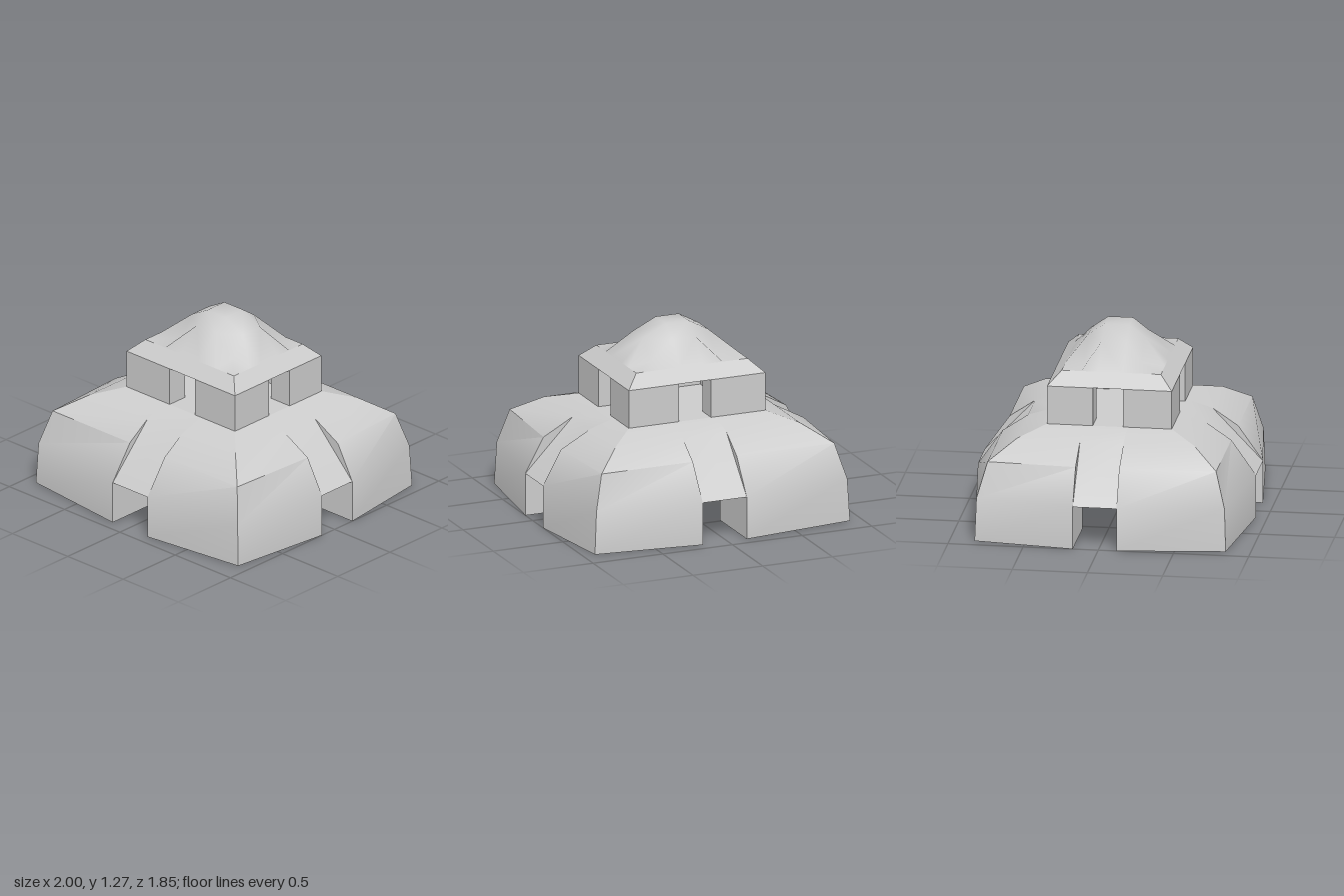
import * as THREE from 'three';
import { toCreasedNormals } from 'three/addons/utils/BufferGeometryUtils.js';

const material = new THREE.MeshStandardMaterial({ color: 0xcccccc });

// Collects convex polygons (counter-clockwise from outside) into one mesh
function polyMesh(name, polys, crease = 0.68) {
  const pos = [];
  for (const p of polys)
    for (let i = 1; i < p.length - 1; i++) pos.push(...p[0], ...p[i], ...p[i + 1]);
  const geo = new THREE.BufferGeometry();
  geo.setAttribute('position', new THREE.Float32BufferAttribute(pos, 3));
  const mesh = new THREE.Mesh(toCreasedNormals(geo, crease), material);
  mesh.name = name;
  return mesh;
}

// Mirrors polygons into another quadrant, keeping their facing
function mirror(polys, sx, sz) {
  return polys.map(p => {
    const q = p.map(([x, y, z]) => [x * sx, y, z * sz]);
    return sx * sz < 0 ? q.reverse() : q;
  });
}

const range = (n) => [...Array(n).keys()];
const quadrants = [[1, 1], [-1, 1], [-1, -1], [1, -1]];
// Passage edges either side of the centre lines
const slotX = s => (s > 0 ? 0.18 : 0.135);
const slotZ = s => (s > 0 ? 0.12 : 0.17);
const ROOM = { x: 0.54, z: 0.48 }, CEIL = 0.29, CORNER = 0.42;

// Base rings: height, side x, front z, corner x, corner z
const rings = [
  [0, 1.0, 0.925, 0.915, 0.835],
  [0.29, 1.0, 0.925, 0.9, 0.825],
  [0.525, 0.87, 0.76, 0.835, 0.76],
  [0.64, 0.66, 0.59, 0.66, 0.59],
  [0.695, 0.49, 0.415, 0.49, 0.415],
];

function cornerBlock(sx, sz) {
  const a = slotX(sx), b = slotZ(sz), { x: rx, z: rz } = ROOM;
  const F = rings.map(r => [a, r[0], r[2]]);
  const C = rings.map(r => [r[3], r[0], r[4]]);
  const S = rings.map(r => [r[1], r[0], b]);
  // outer skin, sharp along the corner
  const endSkin = range(4).map(i => [F[i], C[i], C[i + 1], F[i + 1]]);
  const sideSkin = range(4).map(i => [C[i], S[i], S[i + 1], C[i + 1]]);
  const core = [
    // walls facing the two passages
    [[a, 0, rz], F[0], F[1], F[2], F[3], [a, CEIL, rz]],
    [S[0], [rx, 0, b], [rx, CEIL, b], S[3], S[2], S[1]],
    // underside
    [[a, 0, rz], [rx, 0, rz], C[0], F[0]],
    [[rx, 0, rz], [rx, 0, b], S[0], C[0]],
    // inner room walls
    [[rx, 0, rz], [a, 0, rz], [a, CEIL, rz], [rx, CORNER, rz]],
    [[rx, 0, b], [rx, 0, rz], [rx, CORNER, rz], [rx, CEIL, b]],
  ];
  const block = new THREE.Group();
  block.name = 'cornerBlock';
  for (const [name, polys] of Object.entries({ endSkin, sideSkin, core }))
    block.add(polyMesh(name, mirror(polys, sx, sz)));
  return block;
}

// Sloped roofs and flat ceilings over the four passages
function passageRoofs() {
  const polys = [];
  const [, edge, , shoulder, top] = rings;
  const x0 = -slotX(-1), x1 = slotX(1), z0 = -slotZ(-1), z1 = slotZ(1);
  for (const s of [1, -1]) {
    const add = p => polys.push(s > 0 ? p : p.reverse());
    for (const [lo, hi] of [[edge, shoulder], [shoulder, top]]) {
      add([[x0, lo[0], s * lo[2]], [x1, lo[0], s * lo[2]], [x1, hi[0], s * hi[2]], [x0, hi[0], s * hi[2]]]);
      add([[s * lo[1], lo[0], z1], [s * lo[1], lo[0], z0], [s * hi[1], hi[0], z0], [s * hi[1], hi[0], z1]]);
    }
    add([[x0, CEIL, s * ROOM.z], [x1, CEIL, s * ROOM.z], [x1, CEIL, s * edge[2]], [x0, CEIL, s * edge[2]]]);
    add([[s * ROOM.x, CEIL, z1], [s * ROOM.x, CEIL, z0], [s * edge[1], CEIL, z0], [s * edge[1], CEIL, z1]]);
  }
  return polyMesh('passageRoofs', polys);
}

// Vaulted ceiling of the lower room: rim, haunch and crown
function roomCeiling() {
  const rim = [];
  for (const [sx, sz] of quadrants) {
    const pts = [
      [sx * ROOM.x, CEIL, sz * slotZ(sz)],
      [sx * ROOM.x, CORNER, sz * ROOM.z],
      [sx * slotX(sx), CEIL, sz * ROOM.z],
    ];
    rim.push(...(sx * sz > 0 ? pts : pts.reverse()));
  }
  const haunch = rim.map(([x, , z]) => [x * 0.65, 0.51, z * 0.65]);
  const crown = [0, 0.56, 0];
  const polys = rim.flatMap((p, i) => {
    const j = (i + 1) % rim.length;
    return [[haunch[i], p, rim[j], haunch[j]], [crown, haunch[i], haunch[j]]];
  });
  return polyMesh('roomCeiling', polys);
}

const rect = (x, y, z) => [[-x, y, z], [x, y, z], [x, y, -z], [-x, y, -z]];

// Upper storey: four L-shaped corner posts around cross passages
function upperPost(sx, sz) {
  const post = new THREE.Group();
  post.name = 'upperPost';
  const a = sx > 0 ? 0.13 : 0.1, b = sz > 0 ? 0.09 : 0.11;
  for (const [xa, xb, za, zb] of [[a, 0.49, 0.27, 0.415], [0.32, 0.49, b, 0.27]]) {
    const wall = new THREE.Mesh(new THREE.BoxGeometry(xb - xa, 0.26, zb - za), material);
    wall.position.set(sx * (xa + xb) / 2, 0.825, sz * (za + zb) / 2);
    wall.name = 'postWall';
    post.add(wall);
  }
  return post;
}

// Bevelled eaves below the dome
function eaves() {
  const lo = rect(0.49, 0.955, 0.415), hi = rect(0.4, 1.04, 0.33);
  const polys = range(4).map(i => {
    const j = (i + 1) % 4;
    return [lo[i], lo[j], hi[j], hi[i]];
  });
  polys.push([...lo].reverse());
  return polyMesh('eaves', polys, 0.3);
}

// Soft rounded dome rising out of the rectangular eaves, with low corners
function dome() {
  const xs = [-0.4, -0.22, -0.08, 0.085, 0.245, 0.4];
  const zs = [-0.33, -0.2, -0.09, 0.075, 0.175, 0.33];
  const ringOf = i => Math.min(i, 5 - i);
  const heights = [[1.04, 1.04, 1.04], [1.04, 1.06, 1.195], [1.04, 1.195, 1.272]];
  const at = (i, j) => [xs[i], heights[ringOf(i)][ringOf(j)], zs[j]];
  const polys = [];
  for (const i of range(5)) {
    for (const j of range(5)) {
      const A = at(i, j), B = at(i, j + 1), C = at(i + 1, j + 1), D = at(i + 1, j);
      // cells split towards the crown, except the four that round the dome off
      const roundsOff = i % 2 === 1 && j % 2 === 1;
      if (((i < 2) === (j < 2)) !== roundsOff) polys.push([A, B, C], [A, C, D]);
      else polys.push([B, C, D], [B, D, A]);
    }
  }
  return polyMesh('dome', polys, 1.4);
}

export function createModel() {
  const model = new THREE.Group();
  model.name = 'domedPavilion';
  for (const [sx, sz] of quadrants) model.add(cornerBlock(sx, sz), upperPost(sx, sz));
  model.add(passageRoofs(), roomCeiling());
  model.add(polyMesh('upperFloor', [rect(0.49, 0.695, 0.415)]));
  model.add(eaves(), dome());
  return model;
}
